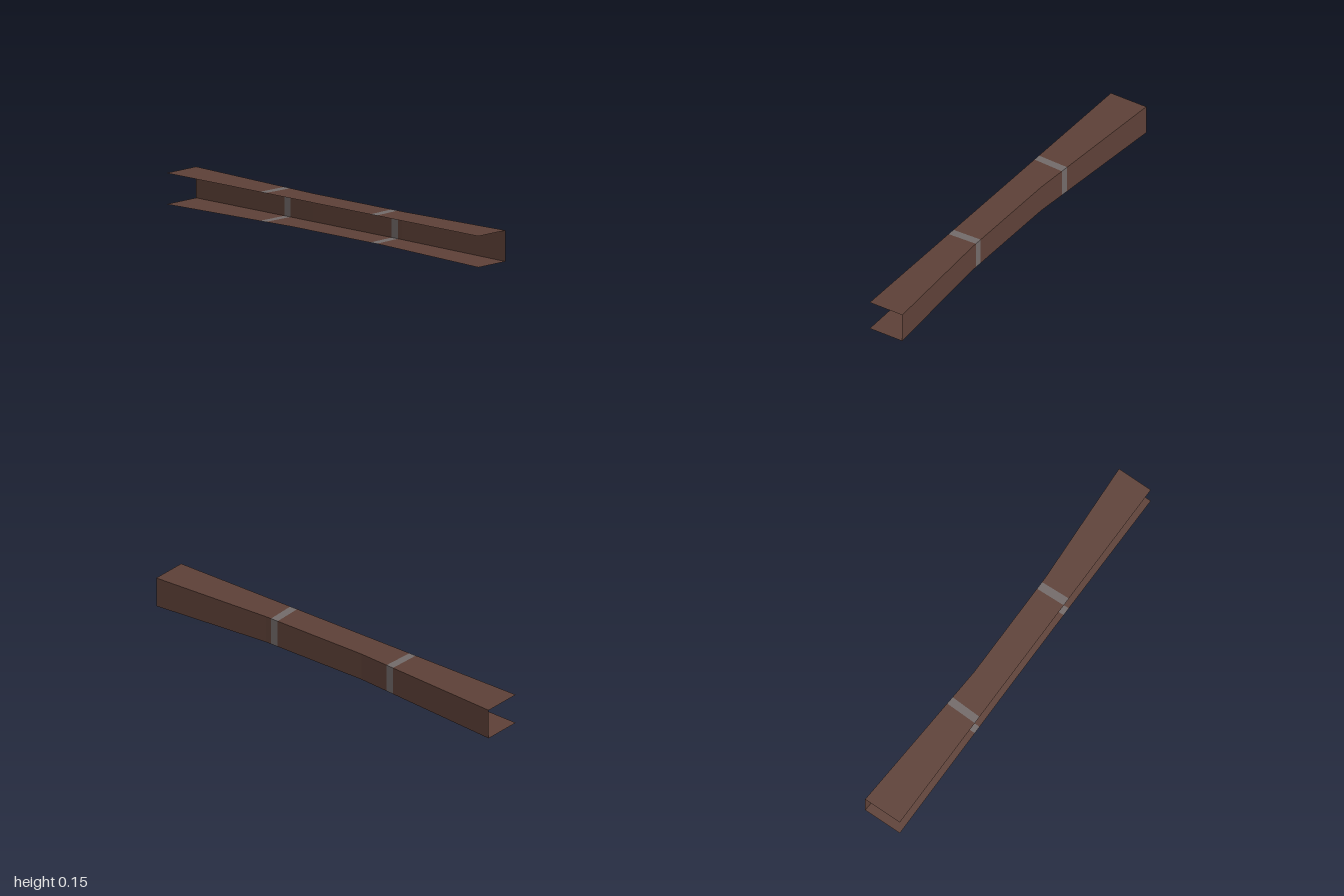
import * as THREE from 'three';

const wood = new THREE.MeshStandardMaterial({ color: 0x5d4037, side: THREE.DoubleSide, flatShading: true });
wood.name = 'dark brown';
const grey = new THREE.MeshStandardMaterial({ color: 0x726a69, side: THREE.DoubleSide, flatShading: true });
grey.name = 'band grey';

const LEFT = -0.098, TOP = 0.147;

// stations along the beam: [z at the open edge, z at the wall]
const stations = [
  [1, 1], [0.37, 0.37], [0.347, 0.341], [0.306, 0.301],
  [-0.2, -0.2], [-0.365, -0.358], [-0.403, -0.398], [-1, -1],
];
const bandSegments = [2, 5];

// the wall flares out and the floor dips towards both ends
function flare(z) {
  const t = z > 0.37 ? (z - 0.37) / 0.63 : z < -0.2 ? (-0.2 - z) / 0.8 : 0;
  return { x: 0.05 + (z > 0 ? 0.032 : 0.048) * t, y: 0.014 * (1 - t) };
}

// the four corners of the open channel section at one station
function section([zOpen, zWall]) {
  const o = flare(zOpen), w = flare(zWall);
  return [
    [LEFT, TOP, zOpen], [w.x, TOP, zWall],
    [w.x, w.y, zWall], [LEFT, o.y, zOpen],
  ];
}

// one side of the channel, running between two neighbouring corners
function panel(name, corner) {
  const positions = [];
  const geometry = new THREE.BufferGeometry();
  for (let i = 0; i < stations.length - 1; i++) {
    const s = section(stations[i]), e = section(stations[i + 1]);
    const a = s[corner], b = s[corner + 1], c = e[corner + 1], d = e[corner];
    positions.push(...a, ...b, ...c, ...a, ...c, ...d);
    geometry.addGroup(i * 6, 6, bandSegments.includes(i) ? 1 : 0);
  }
  geometry.setAttribute('position', new THREE.Float32BufferAttribute(positions, 3));
  geometry.computeVertexNormals();
  const mesh = new THREE.Mesh(geometry, [wood, grey]);
  mesh.name = name;
  return mesh;
}

export function createModel() {
  const beam = new THREE.Group();
  beam.name = 'bandedBeam';
  ['topPanel', 'sideWall', 'bottomPanel'].forEach((name, i) => beam.add(panel(name, i)));
  return beam;
}
